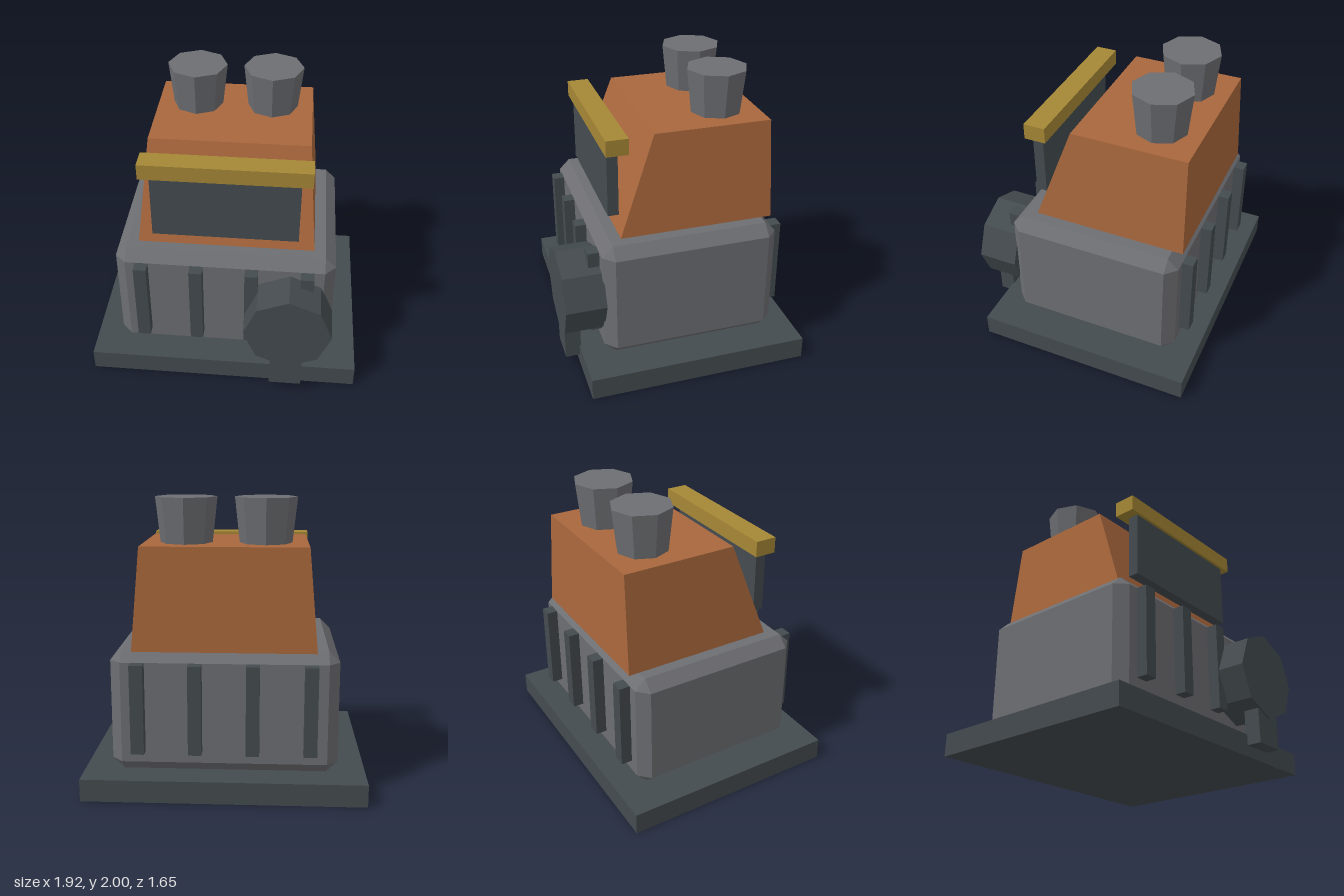
import * as THREE from 'three';
import { ConvexGeometry } from 'three/addons/geometries/ConvexGeometry.js';

const material = (name, color) => {
  const m = new THREE.MeshStandardMaterial({ color });
  m.name = name;
  m.flatShading = true;
  return m;
};

// Box given by its minimum and maximum corners
function box(x0, x1, y0, y1, z0, z1) {
  return new THREE.BoxGeometry(x1 - x0, y1 - y0, z1 - z0)
    .translate((x0 + x1) / 2, (y0 + y1) / 2, (z0 + z1) / 2);
}

// Box with every edge cut at 45 degrees
function chamferBox(w, h, d, c) {
  const points = [];
  for (const sx of [-1, 1]) for (const sy of [-1, 1]) for (const sz of [-1, 1]) {
    const x = w / 2, y = h / 2, z = d / 2;
    for (const [a, b, e] of [[0, c, c], [c, 0, c], [c, c, 0]]) {
      points.push(new THREE.Vector3(sx * (x - a), sy * (y - b), sz * (z - e)));
    }
  }
  return new ConvexGeometry(points);
}

// Box whose upper corners are moved to a smaller rectangle
function taperedBox(bottom, top) {
  const geo = new THREE.BoxGeometry(1, 1, 1);
  const p = geo.attributes.position;
  for (let i = 0; i < p.count; i++) {
    const s = p.getY(i) > 0 ? top : bottom;
    p.setXYZ(i, Math.sign(p.getX(i)) * s.x, s.y, p.getZ(i) > 0 ? s.front : s.back);
  }
  geo.computeVertexNormals();
  return geo;
}

export function createModel() {
  const model = new THREE.Group();
  model.name = 'machine';
  const dark = material('dark iron', 0x444b4f);
  const grey = material('grey steel', 0x6d6e72);
  const copper = material('copper', 0xa9673c);
  const brass = material('brass', 0xa58735);

  const add = (name, geometry, mat) => {
    const mesh = new THREE.Mesh(geometry, mat);
    mesh.name = name;
    model.add(mesh);
    return mesh;
  };

  // Base and chamfered body
  add('basePlate', box(-0.96, 0.96, 0, 0.155, -0.825, 0.71), dark);
  add('body', chamferBox(1.54, 0.845, 1.228, 0.075), grey).position.set(0, 0.5775, -0.057);

  // Upright ribs on front and back
  for (const x of [-0.578, -0.193, 0.192, 0.577]) {
    add('frontRib', box(x - 0.045, x + 0.045, 0.31, 0.925, 0.54, 0.635), dark);
    add('backRib', box(x - 0.045, x + 0.045, 0.31, 0.925, -0.748, -0.65), dark);
  }

  // Eight-sided drum and its foot
  const drum = new THREE.CylinderGeometry(0.306, 0.306, 0.28, 8).rotateX(Math.PI / 2);
  add('drum', drum, dark).position.set(0.46, 0.58, 0.685);
  add('drumFoot', box(0.345, 0.573, 0.08, 0.45, 0.7, 0.81), dark);

  // Hood with a sloping front
  add('hood', taperedBox(
    { x: 0.615, y: 1, front: 0.405, back: -0.67 },
    { x: 0.553, y: 1.695, front: 0.155, back: -0.652 }
  ), copper);

  // Front screen under a brass bar
  add('screen', box(-0.502, 0.502, 1.12, 1.585, 0.387, 0.462), dark);
  add('screenBar', box(-0.575, 0.575, 1.583, 1.695, 0.33, 0.482), brass);

  // Flared chimneys
  for (const side of [-1, 1]) {
    add(side > 0 ? 'leftChimney' : 'rightChimney',
      new THREE.CylinderGeometry(0.21, 0.176, 0.315, 8), grey)
      .position.set(side * 0.268, 1.8425, -0.367);
  }
  return model;
}
